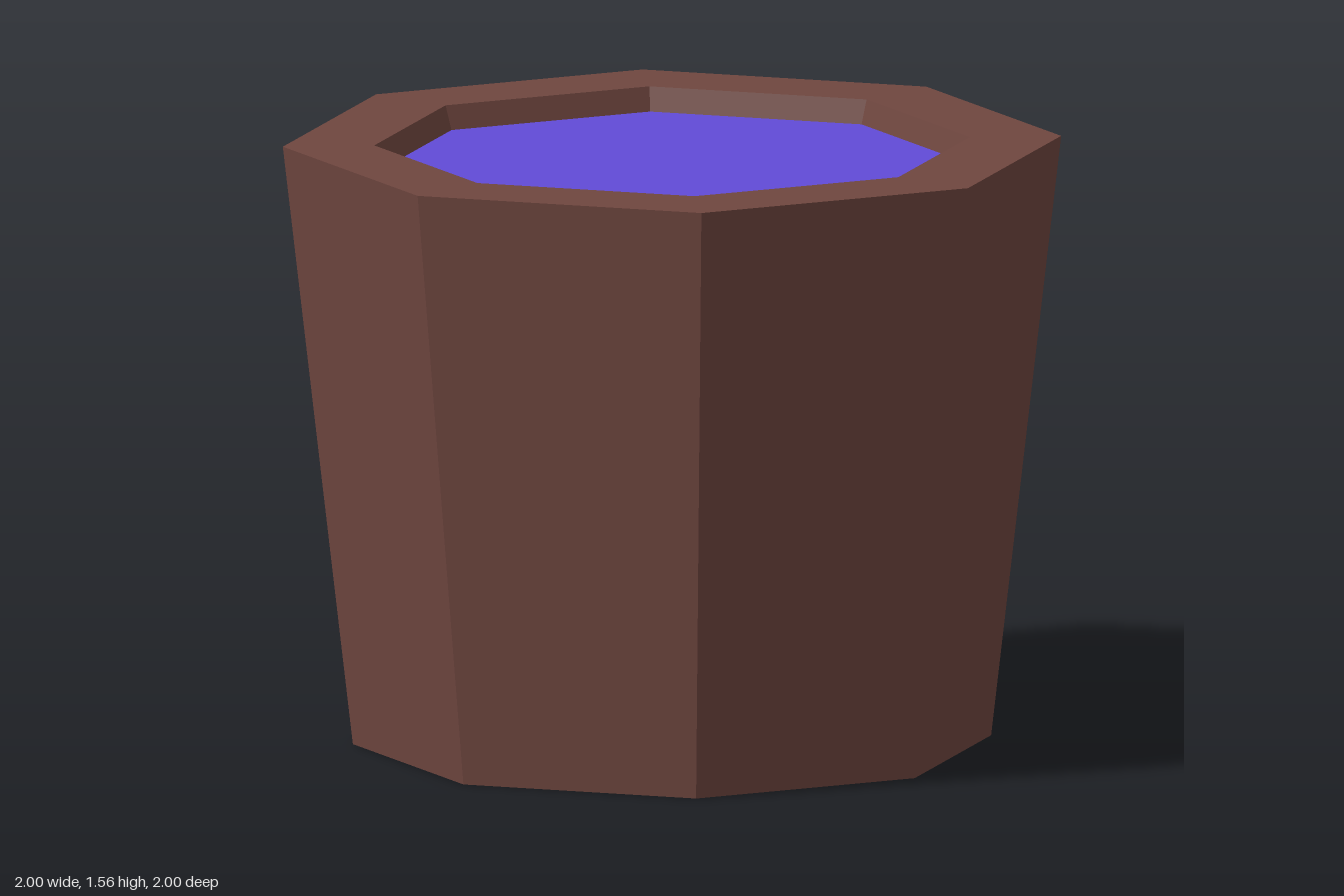
import * as THREE from 'three';

const SIDES = 8;
const HEIGHT = 1.56;
const LIQUID_RADIUS = 0.745;
const LIQUID_LEVEL = 1.498;

export function createModel() {
  const group = new THREE.Group();
  group.name = 'bucket';

  const wood = new THREE.MeshStandardMaterial({ color: 0x6f463f, flatShading: true });
  wood.name = 'brown wood';
  const purple = new THREE.MeshStandardMaterial({ color: 0x614bd7, flatShading: true });
  purple.name = 'purple liquid';

  // Tapered octagonal tub: base, outer wall, flat rim and inner lip
  const profile = [
    [0, 0],
    [0.82, 0],
    [1, HEIGHT],
    [0.765, HEIGHT],
    [LIQUID_RADIUS, LIQUID_LEVEL],
  ].map(([r, y]) => new THREE.Vector2(r, y));
  const tub = new THREE.Mesh(new THREE.LatheGeometry(profile, SIDES), wood);
  tub.name = 'tub';
  group.add(tub);

  // Liquid surface closing the recess
  const surface = new THREE.CircleGeometry(LIQUID_RADIUS, SIDES).rotateX(-Math.PI / 2);
  const liquid = new THREE.Mesh(surface, purple);
  liquid.name = 'liquid';
  liquid.position.y = LIQUID_LEVEL;
  group.add(liquid);

  return group;
}
